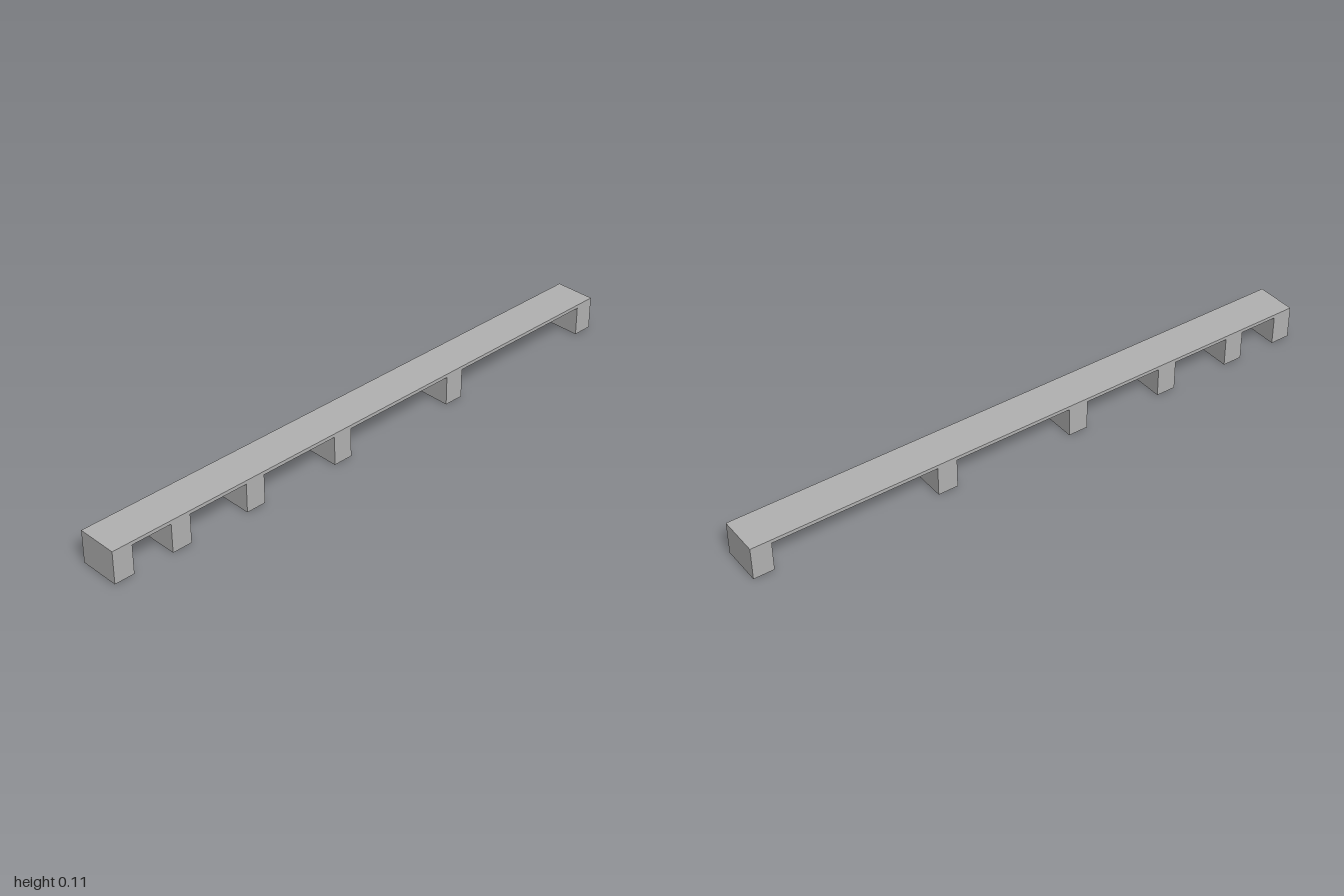
import * as THREE from 'three';

const HEIGHT = 0.111, DEPTH = 0.137, DECK = 0.012, FOOT = 0.068;
// Left edge (-x side) of each foot; the gaps widen towards +x
const FEET = [-1, -0.795, -0.519, -0.172, 0.309, 1 - FOOT];

export function createModel() {
  const group = new THREE.Group();
  group.name = 'footedBar';
  const grey = new THREE.MeshStandardMaterial({ color: 0xb2b2b2 });
  grey.name = 'grey';

  // Comb-shaped side profile: thin deck above, square feet below
  const profile = new THREE.Shape();
  const under = HEIGHT - DECK;
  profile.moveTo(-1, HEIGHT);
  FEET.forEach((x, i) => {
    if (i > 0) profile.lineTo(x, under);
    profile.lineTo(x, 0);
    profile.lineTo(x + FOOT, 0);
    if (i < FEET.length - 1) profile.lineTo(x + FOOT, under);
  });
  profile.lineTo(1, HEIGHT);
  profile.closePath();

  // One solid body, extruded through the depth and centred on z
  const geometry = new THREE.ExtrudeGeometry(profile, { depth: DEPTH, bevelEnabled: false });
  geometry.translate(0, 0, -DEPTH / 2);
  const body = new THREE.Mesh(geometry, grey);
  body.name = 'deckWithFeet';
  group.add(body);
  return group;
}
